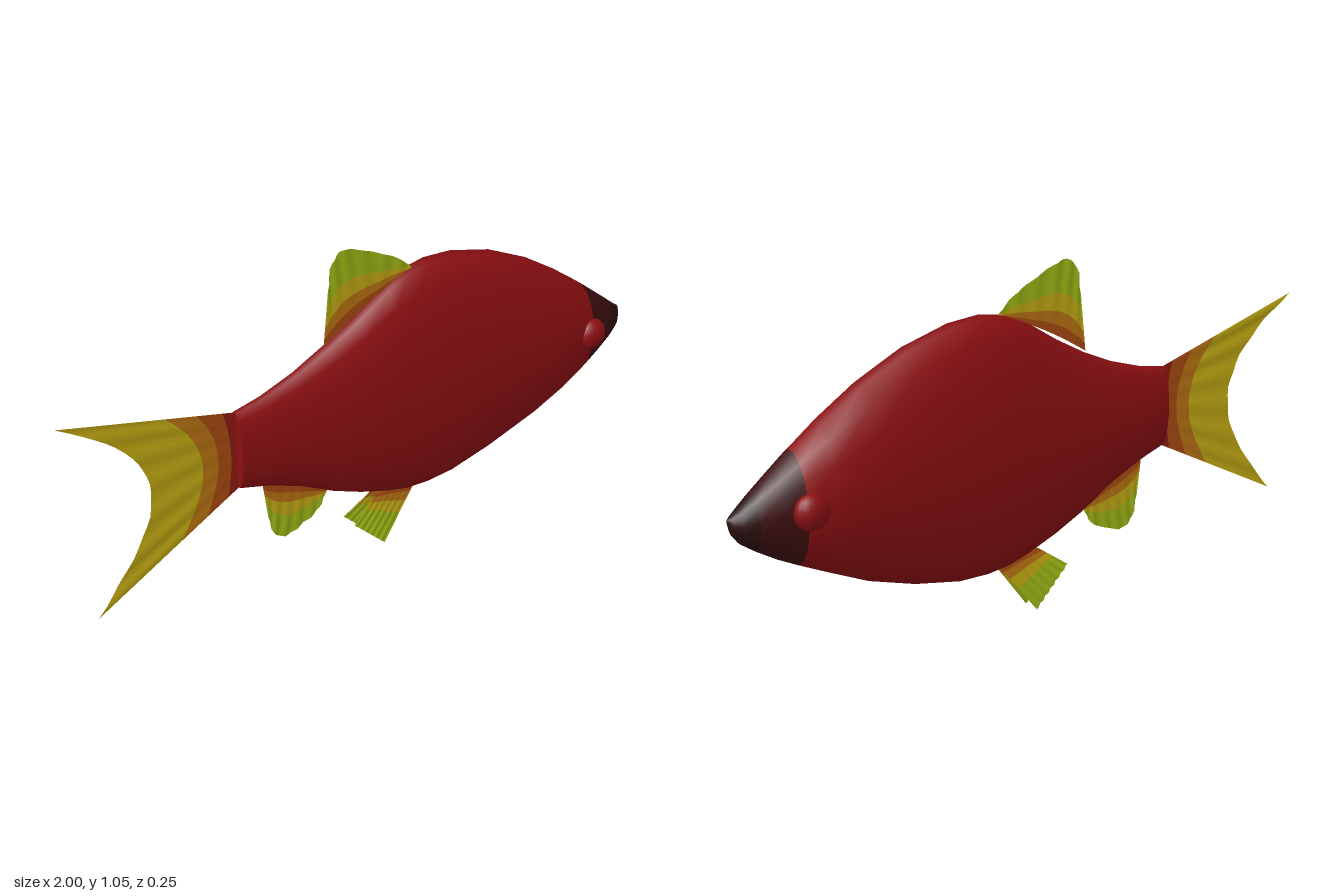
import * as THREE from 'three';

const paint = (name, color, side = THREE.FrontSide) => {
  const m = new THREE.MeshStandardMaterial({ color, side });
  m.name = name;
  return m;
};

const SIDES = 16;
const HALF_STEP = Math.PI / SIDES;

// Body stations from tail to nose: x, top, bottom, half width
const STATIONS = [
  [-0.47, 0.67, 0.42, 0.034], [-0.38, 0.685, 0.39, 0.043], [-0.27, 0.718, 0.342, 0.055],
  [-0.15, 0.77, 0.272, 0.068], [-0.05, 0.823, 0.225, 0.079], [0.05, 0.885, 0.187, 0.089],
  [0.12, 0.914, 0.166, 0.095], [0.2, 0.925, 0.157, 0.102], [0.3, 0.915, 0.16, 0.108],
  [0.45, 0.87, 0.19, 0.113], [0.6, 0.796, 0.237, 0.114], [0.72, 0.718, 0.292, 0.111],
  [0.81, 0.652, 0.334, 0.092], [0.87, 0.604, 0.364, 0.075], [0.93, 0.556, 0.4, 0.055],
  [0.97, 0.523, 0.428, 0.037], [0.99, 0.508, 0.455, 0.02], [1.0, 0.501, 0.488, 0.004],
];
const HEAD_START = 12;
const SNOUT_START = 14;

// Smooth body lofted through elliptical rings, with colour groups along its length
function makeBody(materials) {
  const pos = [], index = [];
  for (const [x, top, bottom, w] of STATIONS) {
    const h = (top - bottom) / 2 / Math.cos(HALF_STEP);
    for (let j = 0; j < SIDES; j++) {
      const a = (2 * j + 1) * HALF_STEP;
      pos.push(x, (top + bottom) / 2 + h * Math.cos(a), w * Math.sin(a));
    }
  }
  for (let i = 0; i < STATIONS.length - 1; i++) {
    for (let j = 0; j < SIDES; j++) {
      const a = i * SIDES + j, b = i * SIDES + (j + 1) % SIDES;
      index.push(a, b, a + SIDES, b, b + SIDES, a + SIDES);
    }
  }
  const last = (STATIONS.length - 1) * SIDES;
  for (let j = 1; j < SIDES - 1; j++) index.push(last, last + j, last + j + 1);

  const geo = new THREE.BufferGeometry();
  geo.setAttribute('position', new THREE.Float32BufferAttribute(pos, 3));
  geo.setIndex(index);
  geo.computeVertexNormals();
  const head = HEAD_START * SIDES * 6, snout = SNOUT_START * SIDES * 6;
  geo.addGroup(0, head, 0);
  geo.addGroup(head, snout - head, 1);
  geo.addGroup(snout, index.length - snout, 2);
  return new THREE.Mesh(geo, materials);
}

// Thin fin lofted from a base curve to an outer curve, striped at the given fractions
function makeFin(name, base, outer, stops, materials, { ripple = 0.003, z = () => 0 } = {}) {
  const curve = (pts) => new THREE.CatmullRomCurve3(pts.map(([x, y]) => new THREE.Vector3(x, y, 0)));
  const inner = curve(base), rim = curve(outer);
  const N = 24, p = new THREE.Vector3();
  const fin = new THREE.Group();
  fin.name = name;
  materials.forEach((mat, k) => {
    const pos = [], index = [];
    for (let i = 0; i <= N; i++) {
      const s = i / N;
      for (const t of [stops[k], stops[k + 1]]) {
        p.lerpVectors(inner.getPoint(s), rim.getPoint(s), t);
        pos.push(p.x, p.y, z(t) + ripple * t * Math.sin(s * Math.PI * 12));
      }
      if (i < N) index.push(2 * i, 2 * i + 1, 2 * i + 2, 2 * i + 1, 2 * i + 3, 2 * i + 2);
    }
    const geo = new THREE.BufferGeometry();
    geo.setAttribute('position', new THREE.Float32BufferAttribute(pos, 3));
    geo.setIndex(index);
    geo.computeVertexNormals();
    const mesh = new THREE.Mesh(geo, mat);
    mesh.name = `${name}Band${k + 1}`;
    fin.add(mesh);
  });
  return fin;
}

export function createModel() {
  const red = paint('scaleRed', 0x8c0f12);
  const headBrown = paint('headBrown', 0x3c0e10);
  const snoutBrown = paint('snoutBrown', 0x2a0f0f);
  const finRed = paint('finRed', 0x8c1a10, THREE.DoubleSide);
  const rust = paint('finRust', 0xa84a10, THREE.DoubleSide);
  const orange = paint('finOrange', 0xb87212, THREE.DoubleSide);
  const yellow = paint('finYellow', 0xc0a812, THREE.DoubleSide);
  const green = paint('finGreen', 0x9cb414, THREE.DoubleSide);

  const fish = new THREE.Group();
  fish.name = 'fish';

  const body = makeBody([red, headBrown, snoutBrown]);
  body.name = 'body';
  fish.add(body);

  // Flat cap closing the tail end of the body
  const [cx, top, bottom, w] = STATIONS[0];
  const capGeo = new THREE.CircleGeometry(1, SIDES, HALF_STEP);
  capGeo.scale(w, (top - bottom) / 2 / Math.cos(HALF_STEP), 1).rotateY(-Math.PI / 2);
  const cap = new THREE.Mesh(capGeo, red);
  cap.name = 'tailStump';
  cap.position.set(cx, (top + bottom) / 2, 0);
  fish.add(cap);

  // Bulging eyes
  for (const side of [1, -1]) {
    const eye = new THREE.Mesh(new THREE.SphereGeometry(1, 16, 12), red);
    eye.name = side > 0 ? 'frontEye' : 'backEye';
    eye.scale.set(0.052, 0.052, 0.036);
    eye.position.set(0.8, 0.505, side * 0.088);
    fish.add(eye);
  }

  // Forked tail
  fish.add(makeFin('tailFin',
    [[-0.465, 0.42], [-0.465, 0.545], [-0.465, 0.67]],
    [[-0.94, 0.18], [-0.84, 0.3], [-0.765, 0.42], [-0.745, 0.53], [-0.775, 0.63], [-0.86, 0.73], [-1, 0.83]],
    [0, 0.08, 0.23, 0.41, 1], [finRed, rust, orange, yellow]));

  // Dorsal fin on the back
  fish.add(makeFin('dorsalFin',
    [[-0.168, 0.768], [-0.08, 0.82], [0.02, 0.87], [0.14, 0.915]],
    [[-0.15, 0.94], [-0.135, 1.02], [-0.1, 1.05], [-0.05, 1.037], [0.03, 1.0], [0.09, 0.967], [0.14, 0.925]],
    [0, 0.14, 0.32, 0.56, 1], [rust, orange, yellow, green]));

  // Anal fin under the tail
  fish.add(makeFin('analFin',
    [[-0.39, 0.395], [-0.27, 0.345], [-0.165, 0.275]],
    [[-0.375, 0.27], [-0.355, 0.2], [-0.315, 0.175], [-0.26, 0.19], [-0.2, 0.218], [-0.172, 0.26]],
    [0, 0.18, 0.35, 0.6, 1], [rust, orange, yellow, green]));

  // Pair of pelvic fins splaying below the belly
  for (const side of [1, -1]) {
    fish.add(makeFin(side > 0 ? 'frontPelvicFin' : 'backPelvicFin',
      [[0.01, 0.19], [0.08, 0.18], [0.155, 0.165]],
      [[-0.085, 0.122], [-0.028, 0.063], [0.03, 0.003]],
      [0, 0.12, 0.28, 0.5, 1], [rust, orange, yellow, green],
      { z: (t) => side * (0.012 + 0.016 * t) }));
  }

  return fish;
}
